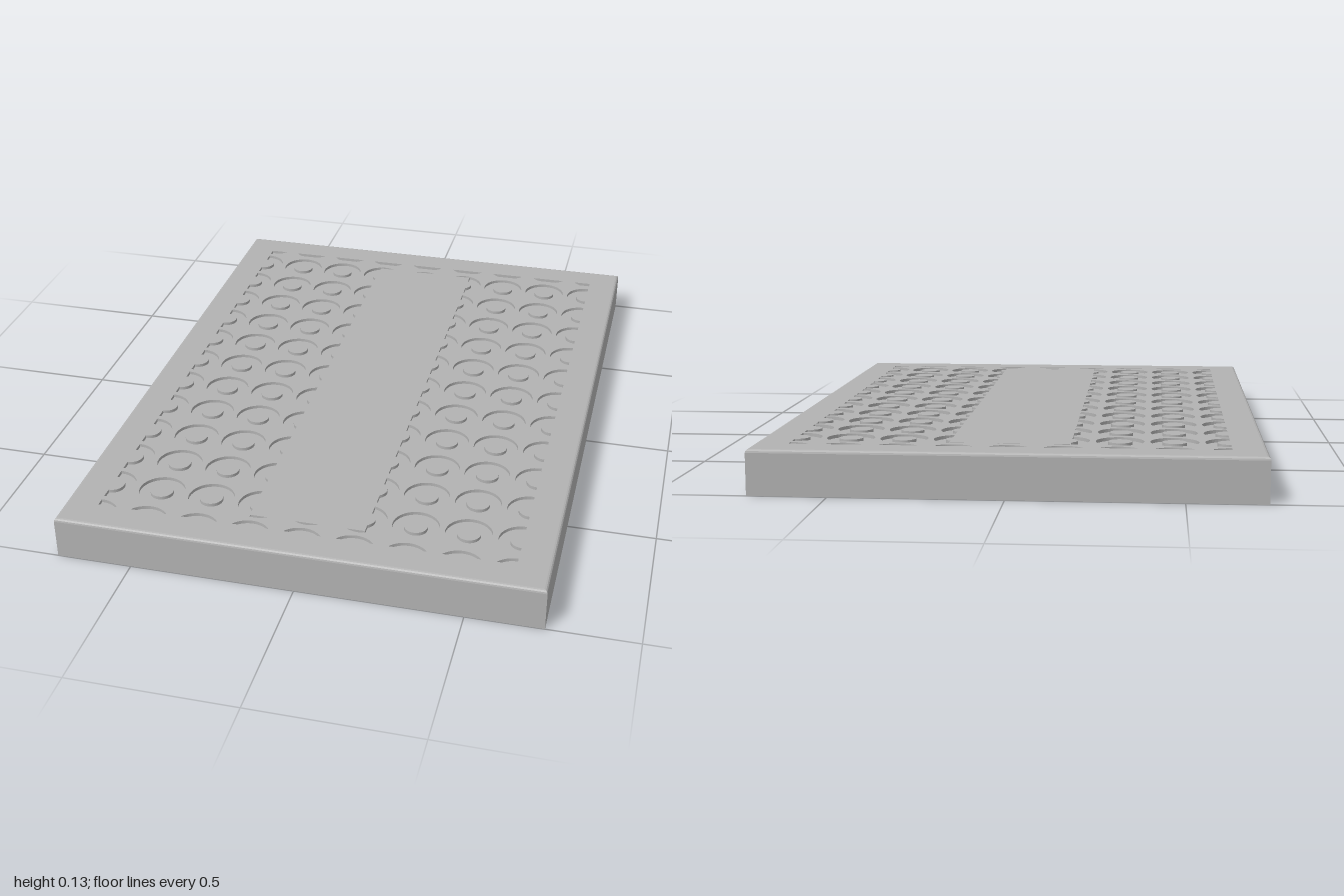
import * as THREE from 'three';

const W = 0.73, L = 1, TOP = 0.133, CEIL = 0.11, WALL = 0.02, INSET = 0.01;
const PITCH = 0.157, R_OUT = 0.07, R_IN = 0.035;

const rect = (w, l) => [[-w, -l], [w, -l], [w, l], [-w, l]].map(p => new THREE.Vector2(...p));

// Keep the part of a convex polygon where sign * p[axis] >= sign * limit
function clip(pts, axis, limit, sign) {
  const out = [];
  pts.forEach((a, i) => {
    const b = pts[(i + 1) % pts.length];
    const da = sign * (a[axis] - limit), db = sign * (b[axis] - limit);
    if (da >= 0) out.push(a);
    if (da * db < 0) out.push(a.clone().lerp(b, da / (da - db)));
  });
  return out;
}

// Ring at (cx, cy) cut by a straight line at distance d from its centre towards angle dir
function cutRing(cx, cy, dir, d) {
  const pts = [], n = 20;
  const arc = (r, a0, a1) => {
    for (let i = 0; i <= n; i++) {
      const a = dir + a0 + (a1 - a0) * i / n;
      pts.push(new THREE.Vector2(cx + r * Math.cos(a), cy + r * Math.sin(a)));
    }
  };
  const o = Math.acos(d / R_OUT);
  arc(R_OUT, -o, o);
  if (Math.abs(d) < R_IN) {
    const k = Math.acos(d / R_IN);
    arc(R_IN, k, -k);
  }
  return pts;
}

function circle(cx, cy, r, n = 40) {
  return Array.from({ length: n }, (_, i) => new THREE.Vector2(
    cx + r * Math.cos(i / n * Math.PI * 2), cy + r * Math.sin(i / n * Math.PI * 2)));
}

// Flat slab from an outline, lying between two heights
function slab(outline, holes, y0, y1) {
  const s = new THREE.Shape(outline);
  s.holes = holes.map(h => new THREE.Path(h));
  return new THREE.ExtrudeGeometry(s, { depth: y1 - y0, bevelEnabled: false })
    .rotateX(-Math.PI / 2).translate(0, y0, 0);
}

// Rectangular loops of [inset, height] joined into a shell
function rectLoft(profile) {
  const pos = [];
  const ring = ([i, y]) => [[-1, 1], [1, 1], [1, -1], [-1, -1]].map(([x, z]) => [x * (W - i), y, z * (L - i)]);
  for (let k = 0; k < profile.length - 1; k++) {
    const a = ring(profile[k]), b = ring(profile[k + 1]);
    for (let i = 0; i < 4; i++) {
      const j = (i + 1) % 4;
      pos.push(...a[i], ...a[j], ...b[j], ...a[i], ...b[j], ...b[i]);
    }
  }
  const g = new THREE.BufferGeometry();
  g.setAttribute('position', new THREE.Float32BufferAttribute(pos, 3));
  g.computeVertexNormals();
  return g;
}

export function createModel() {
  const model = new THREE.Group();
  const grey = new THREE.MeshStandardMaterial({ color: 0xb2b2b2 });
  grey.name = 'plainGrey';
  const add = (name, geo, parent = model) => {
    const m = new THREE.Mesh(geo, grey);
    m.name = name;
    parent.add(m);
    return m;
  };
  const group = name => {
    const g = new THREE.Group();
    g.name = name;
    model.add(g);
    return g;
  };

  // Side walls with a softened top edge
  add('sideWalls', rectLoft([[WALL, CEIL + 0.005], [WALL, 0], [0, 0], [0, TOP - 0.01],
    [0.0013, TOP - 0.005], [0.005, TOP - 0.0013], [INSET, TOP]]));

  // Top panel engraved with rings, left plain along the middle
  const grooves = [], ringCentres = group('ringCentres');
  const edgeX = 0.63, endZ = 0.9, midX = 0.175, midZ = 0.845, grooveFloor = TOP - 0.01;
  for (let c = -4; c <= 4; c++) {
    const x = c * PITCH, side = Math.sign(c), col = Math.abs(c);
    for (let r = -5; r <= 5; r++) {
      const z = r * PITCH;
      if (col === 4) {
        grooves.push(cutRing(x, z, side > 0 ? Math.PI : 0, x * side - edgeX));
      } else if (col > 1) {
        grooves.push(circle(x, z, R_OUT));
        add('ringCentre', slab(circle(x, z, R_IN), [], grooveFloor, TOP), ringCentres);
      } else if (col === 1) {
        grooves.push(cutRing(x, z, side > 0 ? 0 : Math.PI, midX - PITCH));
      }
    }
    for (const e of [-1, 1]) {
      // Cut rings along both ends
      let seg = cutRing(x, e * 6 * PITCH, -e * Math.PI / 2, 6 * PITCH - endZ);
      if (col === 4) seg = clip(seg, 'x', side * edgeX, -side);
      grooves.push(seg);
      // Slivers beyond the ends of the plain middle
      if (col < 2) {
        let sliver = cutRing(x, e * 5 * PITCH, e * Math.PI / 2, midZ - 5 * PITCH);
        if (col) sliver = clip(sliver, 'x', side * (midX - 0.002), -side);
        grooves.push(sliver);
      }
    }
  }
  add('topPanel', slab(rect(W - INSET, L - INSET), grooves, grooveFloor, TOP));
  add('panelCore', slab(rect(W - INSET, L - INSET), [], CEIL + 0.01, grooveFloor));

  // Underside with a honeycomb of grooves along the middle
  const hx = 0.19, hz = 0.84, s = 0.15, flat = s * Math.sqrt(3), gap = 0.011;
  add('underside', slab(rect(W - INSET, L - INSET), [rect(hx, hz)], CEIL, CEIL + 0.01));
  const honeycomb = group('honeycomb');
  for (const side of [-1, 1]) {
    for (let k = -4; k <= 4; k++) {
      const z = (k + (side > 0 ? 0.5 : 0)) * flat;
      let hex = circle(side * s * 0.75, z, s - gap * 2 / Math.sqrt(3), 6);
      hex = clip(clip(hex, 'x', hx, -1), 'x', -hx, 1);
      hex = clip(clip(hex, 'y', hz, -1), 'y', -hz, 1);
      if (hex.length > 2) add('honeycombCell', slab(hex, [], CEIL, CEIL + 0.01), honeycomb);
    }
  }

  // Small catches inside the long walls
  const catches = group('wallCatches');
  for (const side of [-1, 1]) {
    for (const z of [-0.74, 0, 0.74]) {
      const bump = add('wallCatch', new THREE.SphereGeometry(0.013, 16, 10), catches);
      bump.scale.x = 0.7;
      bump.position.set(side * (W - WALL), 0.065, z);
    }
  }
  return model;
}
